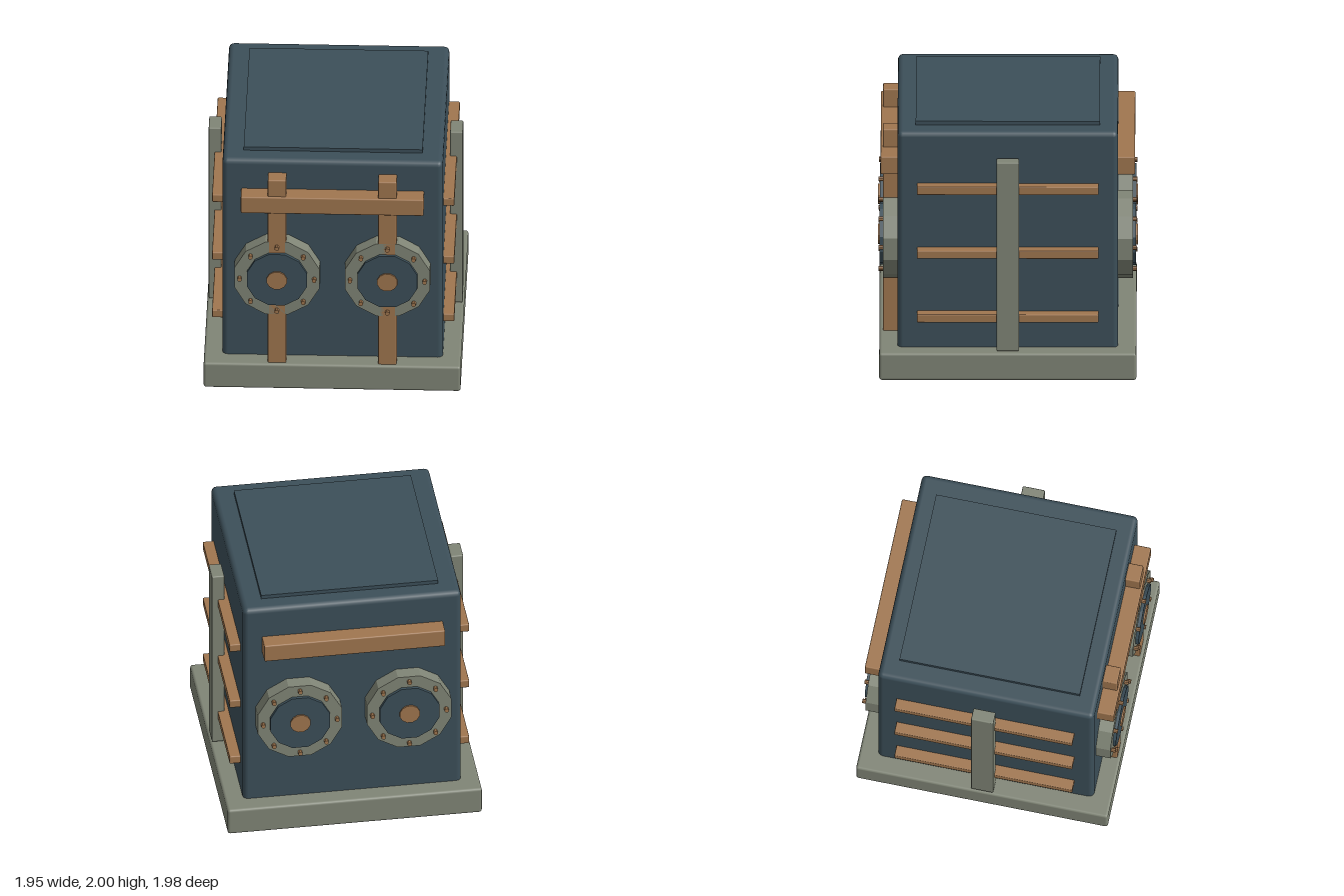
import * as THREE from 'three';
import { RoundedBoxGeometry } from 'three/addons/geometries/RoundedBoxGeometry.js';

const slate = new THREE.MeshStandardMaterial({ color: 0x3c4f59 });
slate.name = 'slateBlue';
const stone = new THREE.MeshStandardMaterial({ color: 0x808576 });
stone.name = 'stoneGrey';
const copper = new THREE.MeshStandardMaterial({ color: 0xa0764f });
copper.name = 'copperBrown';

// Box with softened edges given by its min and max corners
function block(parent, name, mat, [x0, y0, z0], [x1, y1, z1], bevel = 0.01) {
  const geo = new RoundedBoxGeometry(x1 - x0, y1 - y0, z1 - z0, 2, bevel);
  const mesh = new THREE.Mesh(geo, mat);
  mesh.name = name;
  mesh.position.set((x0 + x1) / 2, (y0 + y1) / 2, (z0 + z1) / 2);
  parent.add(mesh);
}

// Faceted disc facing +z, spanning z0 to z1, with flat sides up and across
function disc(parent, name, mat, radius, z0, z1, sides, x = 0, y = 0) {
  const geo = new THREE.CylinderGeometry(radius, radius, z1 - z0, sides, 1, false, Math.PI / sides)
    .rotateX(Math.PI / 2).toNonIndexed();
  geo.computeVertexNormals();
  const mesh = new THREE.Mesh(geo, mat);
  mesh.name = name;
  mesh.position.set(x, y, (z0 + z1) / 2);
  parent.add(mesh);
}

// Round port: flange, raised cover, hub and a circle of eight bolts
function port(x) {
  const g = new THREE.Group();
  g.name = 'port';
  disc(g, 'portFlange', stone, 0.335, 0.82, 0.95, 12);
  disc(g, 'portCover', slate, 0.236, 0.93, 0.975, 12);
  disc(g, 'portHub', copper, 0.079, 0.96, 0.988, 12);
  for (let i = 0; i < 8; i++) {
    const a = (i * Math.PI) / 4;
    disc(g, 'portBolt', copper, 0.017, 0.945, 0.983, 8, Math.cos(a) * 0.284, Math.sin(a) * 0.284);
  }
  g.position.set(x, 0.98, 0);
  return g;
}

// One face of the machine: two ports and a cross beam, optionally with straps
function face(name, withStraps) {
  const g = new THREE.Group();
  g.name = name;
  for (const x of [-0.42, 0.42]) {
    g.add(port(x));
    if (withStraps) block(g, 'verticalStrap', copper, [x - 0.07, 0.2, 0.8], [x + 0.07, 1.86, 0.95]);
  }
  block(g, 'crossBeam', copper, [-0.695, 1.57, 0.82], [0.695, 1.715, 0.967]);
  return g;
}

export function createModel() {
  const model = new THREE.Group();
  model.name = 'machineBlock';

  // Plinth, body and top panel
  block(model, 'base', stone, [-0.977, 0, -0.977], [0.977, 0.22, 0.977], 0.02);
  block(model, 'body', slate, [-0.838, 0.1, -0.838], [0.838, 1.97, 0.838], 0.04);
  const panel = new THREE.Mesh(new THREE.BoxGeometry(1.36, 0.1, 1.4), slate);
  panel.name = 'topPanel';
  panel.position.y = 1.95;
  model.add(panel);

  // Front and back faces
  model.add(face('frontFace', true));
  const back = face('backFace', false);
  back.rotation.y = Math.PI;
  model.add(back);

  // Side frames: one post over three rails
  for (const turn of [0, Math.PI]) {
    const side = new THREE.Group();
    side.name = turn ? 'rightFrame' : 'leftFrame';
    block(side, 'sidePost', stone, [0.87, 0.235, -0.086], [0.966, 1.772, 0.086]);
    for (const y of [0.483, 1.003, 1.523])
      block(side, 'sideRail', copper, [0.8, y - 0.033, -0.69], [0.921, y + 0.033, 0.69], 0.008);
    side.rotation.y = turn;
    model.add(side);
  }
  return model;
}
